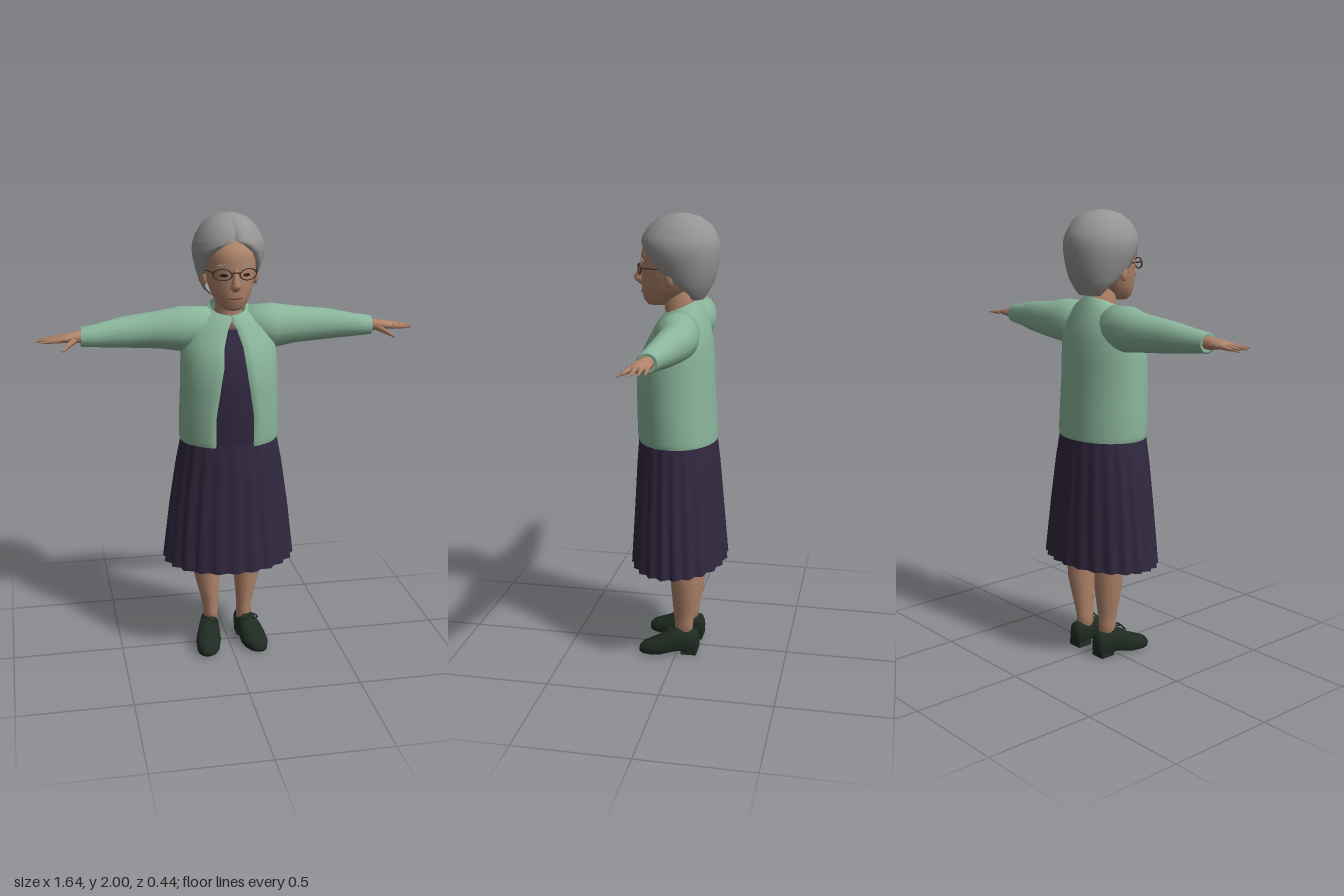
import * as THREE from 'three';

const mat = (name, color) => {
  const m = new THREE.MeshStandardMaterial({ color });
  m.name = name;
  return m;
};

// Skin a stack of equal-length rings; closed wraps each ring, caps fill the ends
function loft(rings, { closed = true, caps = true } = {}) {
  const n = rings[0].length, pos = [], idx = [];
  rings.forEach(r => r.forEach(p => pos.push(p.x, p.y, p.z)));
  for (let i = 0; i < rings.length - 1; i++) {
    for (let j = 0; j < (closed ? n : n - 1); j++) {
      const k = (j + 1) % n, a = i * n + j, b = i * n + k;
      idx.push(a, b, b + n, a, b + n, a + n);
    }
  }
  if (caps) {
    [0, rings.length - 1].forEach((i, top) => {
      const c = new THREE.Vector3();
      rings[i].forEach(p => c.addScaledVector(p, 1 / n));
      const ci = pos.length / 3;
      pos.push(c.x, c.y, c.z);
      for (let j = 0; j < n; j++) {
        const a = i * n + j, b = i * n + (j + 1) % n;
        if (top) idx.push(ci, a, b); else idx.push(ci, b, a);
      }
    });
  }
  const g = new THREE.BufferGeometry();
  g.setAttribute('position', new THREE.Float32BufferAttribute(pos, 3));
  g.setIndex(idx);
  g.computeVertexNormals();
  return g;
}

// Horizontal ring: [y, half width, front z, back z, front opening angle, front tilt]
function ring([y, rx, zf, zb, open = 0, tilt = 0], n, closed = true, pleat = 0) {
  const cz = (zf + zb) / 2, rz = (zf - zb) / 2, pts = [];
  const at = (t, s) => new THREE.Vector3(s * rx * Math.sin(t), y + tilt * Math.cos(t), cz + s * rz * Math.cos(t));
  const count = closed ? n : n + 1;
  for (let j = 0; j < count; j++) {
    const t = open + (2 * Math.PI - 2 * open) * j / n;
    pts.push(at(t, 1 + pleat * Math.cos(22 * t)));
  }
  if (!closed) { // turned-in lips along the opening
    pts.unshift(at(open, 0.88));
    pts.push(at(2 * Math.PI - open, 0.88));
  }
  return pts;
}

// Ring across the x axis: [x, centre y, half height, centre z, half depth]
const ringX = ([x, cy, ry, cz, rz], n) => Array.from({ length: n }, (_, j) => {
  const t = 2 * Math.PI * j / n;
  return new THREE.Vector3(x, cy + ry * Math.cos(t), cz + rz * Math.sin(t));
});

// Ring across the z axis: [z, centre x, half width, bottom, top], squared off below
const ringZ = ([z, cx, rx, y0, y1], n) => Array.from({ length: n }, (_, j) => {
  const t = 2 * Math.PI * j / n, s = Math.sin(t), c = Math.cos(t);
  const y = (y0 + y1) / 2 + (y1 - y0) / 2 * Math.sign(s) * Math.pow(Math.abs(s), s < 0 ? 0.35 : 0.9);
  return new THREE.Vector3(cx + rx * c, y, z);
});

function mirrored(geo) {
  const g = geo.clone().applyMatrix4(new THREE.Matrix4().makeScale(-1, 1, 1));
  const a = g.index.array;
  for (let i = 0; i < a.length; i += 3) [a[i], a[i + 1]] = [a[i + 1], a[i]];
  return g;
}

export function createModel() {
  const root = new THREE.Group();
  root.name = 'elderlyWoman';
  const skin = mat('skin', 0xb0846a), hairM = mat('greyHair', 0x979593);
  const wool = mat('greenWool', 0x8ab59b), cloth = mat('purpleCloth', 0x31283f);
  const leather = mat('darkLeather', 0x1f2b22), frame = mat('glassesBrown', 0x46302a);
  const lip = mat('lips', 0x8a5a4c), dark = mat('eyeDark', 0x2a1f1b);
  [hairM, wool, cloth].forEach(m => { m.side = THREE.DoubleSide; });

  const add = (name, geo, m) => {
    const mesh = new THREE.Mesh(geo, m);
    mesh.name = name;
    root.add(mesh);
  };
  const pair = (name, geo, m) => {
    add(name + 'Left', geo, m);
    add(name + 'Right', mirrored(geo), m);
  };
  const cone = (a, b, r) => { // tapered digit from a to b
    const d = new THREE.Vector3().subVectors(b, a);
    const g = new THREE.CylinderGeometry(r * 0.25, r, d.length(), 6);
    g.applyQuaternion(new THREE.Quaternion().setFromUnitVectors(new THREE.Vector3(0, 1, 0), d.clone().normalize()));
    return g.translate((a.x + b.x) / 2, (a.y + b.y) / 2, (a.z + b.z) / 2);
  };
  const V = (x, y, z) => new THREE.Vector3(x, y, z);

  // Cardigan, open down the front; the dress bodice follows just inside it
  const o = (w, rx) => Math.asin(w / rx);
  const torso = [
    [1.015, 0.216, 0.182, -0.166, o(0.085, 0.216)], [1.04, 0.222, 0.187, -0.166, o(0.085, 0.222)],
    [1.15, 0.22, 0.19, -0.16, o(0.085, 0.22)], [1.26, 0.215, 0.19, -0.153, o(0.068, 0.215)],
    [1.37, 0.212, 0.185, -0.15, o(0.05, 0.212)], [1.45, 0.205, 0.145, -0.143, o(0.042, 0.205)],
    [1.52, 0.182, 0.108, -0.128, o(0.02, 0.182)], [1.575, 0.13, 0.085, -0.1, 0, -0.02],
    [1.605, 0.078, 0.068, -0.075, 0, -0.03],
  ];
  add('cardigan', loft(torso.map(r => ring(r, 36, false)), { closed: false, caps: false }), wool);
  add('dressBodice', loft(torso.slice(0, 7).map(([y, rx, zf, zb]) =>
    ring([y, rx * 0.96, zf - 0.006, zb + 0.008], 36)), { caps: false }), cloth);

  // Pleated skirt
  const skirt = [[1.06, 0.2, 0.17, -0.15], [1.015, 0.214, 0.181, -0.163], [0.9, 0.234, 0.187, -0.174],
    [0.7, 0.262, 0.196, -0.19], [0.442, 0.29, 0.21, -0.21, 0, -0.008]];
  add('skirt', loft(skirt.map((r, i) => ring(r, 88, true, [0, 0.008, 0.02, 0.028, 0.038][i])), { caps: false }), cloth);

  // Sleeves
  const sleeve = [[0.08, 1.51, 0.09, -0.015, 0.085], [0.2, 1.506, 0.098, -0.02, 0.098],
    [0.3, 1.503, 0.082, -0.033, 0.077], [0.45, 1.502, 0.068, -0.02, 0.061],
    [0.56, 1.497, 0.051, 0, 0.051], [0.635, 1.495, 0.042, 0.008, 0.044], [0.63, 1.495, 0.034, 0.008, 0.036]];
  pair('sleeve', loft(sleeve.map(r => ringX(r, 18))), wool);

  // Hands
  const palm = [[0.6, 1.496, 0.03, 0.008, 0.032], [0.65, 1.496, 0.026, 0.012, 0.031],
    [0.69, 1.496, 0.02, 0.018, 0.042], [0.735, 1.493, 0.013, 0.022, 0.042]];
  pair('palm', loft(palm.map(r => ringX(r, 10))), skin);
  [[-0.012, -0.022, 0.798], [0.01, 0.002, 0.815], [0.032, 0.032, 0.822], [0.053, 0.068, 0.803]].forEach(([z0, z1, x], i) =>
    pair('finger' + (i + 1), cone(V(0.722, 1.494, z0), V(x, 1.489, z1), 0.012), skin));
  pair('thumb', cone(V(0.665, 1.488, 0.035), V(0.717, 1.459, 0.108), 0.016), skin);

  // Legs
  const leg = [[0.09, 0.034, 0.012, -0.072, 0.078], [0.15, 0.033, 0.012, -0.074, 0.079], [0.22, 0.041, 0.018, -0.086, 0.084],
    [0.33, 0.06, 0.026, -0.104, 0.093], [0.44, 0.066, 0.03, -0.105, 0.099], [0.75, 0.078, 0.06, -0.1, 0.1]];
  pair('leg', loft(leg.map(([y, rx, zf, zb, cx]) => ring([y, rx, zf, zb], 14).map(p => p.add(V(cx, 0, 0))))), skin);

  // Laced shoes with a low heel
  const shoe = [[-0.1, 0.078, 0.024, 0.022, 0.09], [-0.088, 0.079, 0.037, 0.012, 0.115], [-0.05, 0.083, 0.043, 0.012, 0.122],
    [-0.01, 0.089, 0.047, 0.012, 0.132], [0.025, 0.097, 0.052, 0.008, 0.118], [0.07, 0.105, 0.058, 0, 0.088],
    [0.115, 0.113, 0.054, 0, 0.068], [0.15, 0.118, 0.038, 0.002, 0.054], [0.166, 0.121, 0.02, 0.008, 0.036]];
  pair('shoe', loft(shoe.map(r => ringZ(r, 16))), leather);
  pair('shoeHeel', new THREE.BoxGeometry(0.07, 0.03, 0.07).translate(0.081, 0.015, -0.058), leather);
  [-1, 1].forEach((s, i) => {
    const loop = new THREE.TorusGeometry(0.016, 0.004, 5, 10).scale(1.2, 0.7, 1).rotateX(-0.8).rotateZ(-s * 0.3);
    pair('laceLoop' + (i + 1), loop.translate(0.096 + s * 0.019, 0.124, 0.03), leather);
  });

  // Neck and head
  add('neck', loft([[1.5, 0.09, 0.07, -0.08], [1.56, 0.068, 0.062, -0.07], [1.6, 0.056, 0.07, -0.065],
    [1.7, 0.056, 0.08, -0.07]].map(r => ring(r, 16))), skin);
  const head = [[1.61, 0.034, 0.142, 0.06], [1.63, 0.06, 0.158, 0.02], [1.67, 0.083, 0.168, -0.04],
    [1.72, 0.1, 0.171, -0.09], [1.77, 0.111, 0.168, -0.11], [1.82, 0.115, 0.172, -0.12],
    [1.865, 0.113, 0.162, -0.12], [1.91, 0.09, 0.12, -0.1]];
  add('head', loft(head.map(r => ring(r, 24))), skin);
  add('nose', loft([[1.695, 0.012, 0.178, 0.14], [1.712, 0.024, 0.2, 0.14], [1.725, 0.019, 0.206, 0.14],
    [1.755, 0.012, 0.188, 0.14], [1.79, 0.01, 0.174, 0.14]].map(r => ring(r, 10))), skin);
  pair('ear', new THREE.SphereGeometry(1, 10, 8).scale(0.014, 0.036, 0.024).rotateY(-0.3).translate(0.112, 1.735, 0.03), skin);
  add('mouth', new THREE.SphereGeometry(1, 12, 6).scale(0.034, 0.006, 0.008).translate(0, 1.667, 0.163), lip);

  // Eyes, brows and glasses
  pair('eye', new THREE.CircleGeometry(1, 12).scale(0.018, 0.007, 1).rotateY(0.4).translate(0.048, 1.763, 0.161), dark);
  pair('brow', new THREE.BoxGeometry(0.05, 0.006, 0.006).rotateZ(-0.15).rotateY(0.4).translate(0.05, 1.806, 0.158), hairM);
  pair('glassesRim', new THREE.TorusGeometry(0.04, 0.0035, 6, 20).scale(1, 0.58, 1).rotateY(0.35).translate(0.054, 1.767, 0.168), frame);
  pair('glassesArm', cone(V(0.09, 1.775, 0.155), V(0.122, 1.772, 0.02), 0.004), frame);
  add('glassesBridge', new THREE.BoxGeometry(0.034, 0.005, 0.005).translate(0, 1.775, 0.183), frame);

  // Hair: full cap swept back around the face
  const hair = [[1.64, 0.07, 0.02, -0.105, 1.9], [1.67, 0.1, 0.045, -0.122, 1.75], [1.71, 0.122, 0.09, -0.145, 1.4],
    [1.76, 0.137, 0.13, -0.161, 1.0], [1.81, 0.15, 0.155, -0.168, 0.78], [1.85, 0.155, 0.167, -0.17, 0.6],
    [1.88, 0.15, 0.17, -0.168, 0.35], [1.905, 0.141, 0.163, -0.16], [1.95, 0.115, 0.133, -0.135],
    [1.982, 0.078, 0.085, -0.09], [1.997, 0.035, 0.035, -0.04], [2.0, 0.001, 0.001, -0.001]];
  add('hair', loft(hair.map(r => ring(r, 24, false)), { closed: false, caps: false }), hairM);

  return root;
}
